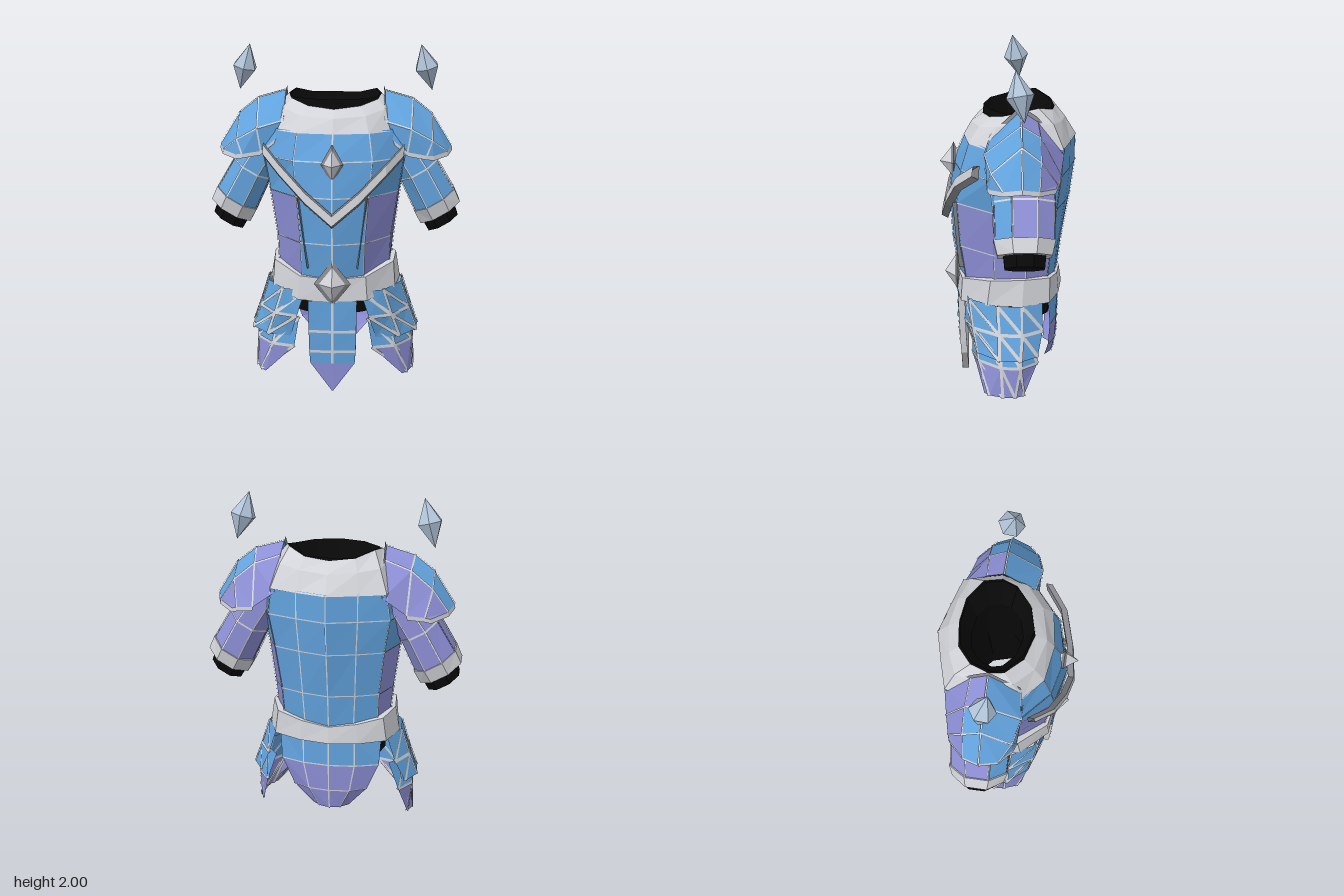
import * as THREE from 'three';

const mat = (name, color) => {
  const m = new THREE.MeshStandardMaterial({ color, side: THREE.DoubleSide });
  m.name = name;
  return m;
};
const V = (p) => new THREE.Vector3(...p);
const mirror = (rows, s) => rows.map((r) => r.map(([x, y, z]) => [x * s, y, z]));

// Cross-section at height y (one number, or one per point) from [x, z] pairs
const row = (y, ...xz) => xz.map(([x, z], i) => [x, Array.isArray(y) ? y[i] : y, z]);
// Closed loop from its left half, running front centre to back centre
const loop = (h) => [...h, ...h.slice(0, -1).reverse().map(([x, y, z]) => [-x, y, z])];

export function createModel() {
  const blue = mat('blue plate', 0x62a3de);
  const purple = mat('purple plate', 0x8d8fd6);
  const light = mat('light grey trim', 0xd2d4d9);
  const dark = mat('dark grey trim', 0x85878c);
  const black = mat('black cloth', 0x090909);
  const crystal = mat('crystal', 0xb2c5da);
  const model = new THREE.Group();
  model.name = 'armour';

  const add = (name, geo, material) => {
    const m = new THREE.Mesh(geo, material);
    m.name = name;
    model.add(m);
    return m;
  };

  // Flat-shaded skin over rows of points; pick gives the material index of a cell
  const loft = (name, rows, materials, pick = () => 0) => {
    const mats = [].concat(materials);
    const bins = mats.map(() => []);
    for (let i = 0; i + 1 < rows.length; i++)
      for (let j = 0; j + 1 < rows[0].length; j++) {
        const a = rows[i][j], b = rows[i][j + 1], c = rows[i + 1][j + 1], d = rows[i + 1][j];
        bins[pick(i, j)].push(...a, ...d, ...b, ...b, ...d, ...c);
      }
    const geo = new THREE.BufferGeometry();
    geo.setAttribute('position', new THREE.Float32BufferAttribute(bins.flat(), 3));
    let start = 0;
    bins.forEach((b, k) => {
      geo.addGroup(start, b.length / 3, k);
      start += b.length / 3;
    });
    geo.computeVertexNormals();
    return add(name, geo, mats.length > 1 ? mats : mats[0]);
  };

  // Pale lines laid on the inner grid lines of a skin; c is a point inside the part
  const seams = (name, rows, c, w, { closed = false, zigzag = false, offsets = [0.005] } = {}) => {
    const pos = [], n = rows.length, k = rows[0].length;
    const at = (i, j) => V(rows[Math.min(Math.max(i, 0), n - 1)][Math.min(Math.max(j, 0), k - 1)]);
    const normal = (i, j) => {
      const q = at(i + 1, j).sub(at(i - 1, j)).cross(at(i, j + 1).sub(at(i, j - 1))).normalize();
      return q.dot(at(i, j).sub(V(c))) < 0 ? q.negate() : q;
    };
    const strip = (i, j, i2, j2) => offsets.forEach((off) => {
      const na = normal(i, j), nb = normal(i2, j2);
      const a = at(i, j), b = at(i2, j2), dir = b.clone().sub(a);
      const sa = dir.clone().cross(na).setLength(w), sb = dir.clone().cross(nb).setLength(w);
      a.addScaledVector(na, off);
      b.addScaledVector(nb, off);
      const p = [a.clone().add(sa), a.clone().sub(sa), b.clone().add(sb), b.clone().sub(sb)];
      [0, 1, 2, 2, 1, 3].forEach((q) => pos.push(...p[q].toArray()));
    });
    for (let i = 0; i < n; i++)
      for (let j = 0; j < k; j++) {
        if (j + 1 < k && i > 0 && i < n - 1) strip(i, j, i, j + 1);
        if (i + 1 < n && (closed || (j > 0 && j < k - 1))) strip(i, j, i + 1, j);
        if (zigzag && i + 1 < n && j + 1 < k) strip(i, j, i + 1, j + 1);
      }
    const geo = new THREE.BufferGeometry();
    geo.setAttribute('position', new THREE.Float32BufferAttribute(pos, 3));
    geo.computeVertexNormals();
    add(name, geo, light);
  };

  // Torso: purple flanks below the chest
  const torso = [
    row(1.53, [0, 0.24], [0.2, 0.21], [0.34, 0.1], [0.38, -0.09], [0.32, -0.3], [0.17, -0.345], [0, -0.39]),
    row(1.37, [0, 0.31], [0.22, 0.26], [0.4, 0.1], [0.43, -0.1], [0.34, -0.29], [0.17, -0.345], [0, -0.39]),
    row(1.17, [0, 0.335], [0.2, 0.285], [0.37, 0.08], [0.385, -0.1], [0.31, -0.27], [0.16, -0.325], [0, -0.365]),
    row(0.9, [0, 0.32], [0.18, 0.27], [0.33, 0.08], [0.35, -0.1], [0.28, -0.24], [0.15, -0.29], [0, -0.32]),
    row(0.68, [0, 0.29], [0.175, 0.24], [0.32, 0.07], [0.33, -0.1], [0.27, -0.22], [0.14, -0.27], [0, -0.295]),
  ].map(loop);
  const flank = (j) => { const k = j < 6 ? j : 11 - j; return k >= 1 && k <= 3; };
  loft('torso', torso, [blue, purple], (i, j) => (i >= 2 && flank(j) ? 1 : 0));
  seams('torsoSeams', torso, [0, 1.1, -0.03], 0.0035, { closed: true });

  // Collar and the black lining, open through the neck
  const neck = loop(row([1.645, 1.66, 1.69, 1.715, 1.73, 1.7, 1.685],
    [0, 0.14], [0.15, 0.1], [0.25, 0.01], [0.27, -0.07], [0.24, -0.17], [0.14, -0.25], [0, -0.27]));
  const collar = [
    neck,
    loop(row([1.6, 1.61, 1.64, 1.66, 1.65, 1.635, 1.625],
      [0, 0.205], [0.18, 0.16], [0.29, 0.06], [0.32, -0.08], [0.28, -0.25], [0.16, -0.3], [0, -0.33])),
    loop(row(1.52, [0, 0.25], [0.2, 0.22], [0.32, 0.12], [0.385, -0.09], [0.325, -0.305], [0.17, -0.35], [0, -0.395])),
  ];
  loft('collar', collar, light);
  const ellipse = (y, k, z0, kz) => neck.map(([x, , z]) => [x * k, y, (z + 0.06) * kz + z0]);
  const lining = [neck, neck.map(([x, y, z]) => [x * 0.96, Math.max(y, 1.7), z * 0.96]),
    ellipse(1.58, 0.68, -0.06, 0.68), ellipse(1.1, 0.85, -0.06, 0.85), ellipse(0.6, 1.1, -0.01, 1.2), ellipse(0.46, 1.12, -0.01, 1.2)];
  loft('lining', lining, black);

  // Belt, dipping at the front
  const beltBottom = loop(row([0.555, 0.56, 0.6, 0.605, 0.605, 0.6, 0.6],
    [0, 0.305], [0.2, 0.275], [0.36, 0.12], [0.39, -0.08], [0.33, -0.24], [0.17, -0.3], [0, -0.325]));
  const beltTop = loop(row([0.69, 0.7, 0.75, 0.76, 0.75, 0.72, 0.7],
    [0, 0.3], [0.19, 0.265], [0.35, 0.1], [0.365, -0.09], [0.31, -0.24], [0.16, -0.29], [0, -0.31]));
  const inset = (r) => r.map(([x, y, z]) => [x * 0.87, y, z * 0.87]);
  loft('belt', [inset(beltTop), beltTop, beltBottom, inset(beltBottom)], light);

  // Chest chevron: a thick band bent around the breastplate
  const chevronHalf = [[0, 1.05, 0.38], [0.15, 1.175, 0.35], [0.3, 1.325, 0.29], [0.4, 1.42, 0.19]];
  const chevron = [...mirror([chevronHalf.slice(1)], -1)[0].reverse(), ...chevronHalf];
  const edge = (dy, dz) => chevron.map(([x, y, z]) => [x, y + dy, z + dz]);
  loft('chestChevron', [edge(0.035, -0.035), edge(0.03, 0), edge(-0.025, 0.008), edge(-0.045, -0.03), edge(0.035, -0.035)],
    [light, dark], (i) => (i === 1 ? 0 : 1));

  // Faceted gems in dark frames
  for (const [name, y, z, w, h, d] of [['chestGem', 1.36, 0.31, 0.056, 0.1, 0.08], ['beltGem', 0.665, 0.3, 0.092, 0.12, 0.075]]) {
    for (const [part, m, k, depth] of [['', light, 1, d], ['Frame', dark, 1.15, d * 0.6]]) {
      const g = add(name + part, new THREE.OctahedronGeometry(1), m);
      g.scale.set(w * k, h * k, depth);
      g.position.set(0, y, z);
    }
  }

  // Front tabard: a thick plate, grey at the sides and back
  const tabard = [
    row(0.56, [-0.14, 0.295], [0, 0.302], [0.14, 0.295]),
    row(0.375, [-0.138, 0.29], [0, 0.3], [0.138, 0.29]),
    row(0.25, [-0.135, 0.285], [0, 0.293], [0.135, 0.285]),
    row(0.175, [-0.13, 0.28], [0, 0.288], [0.13, 0.28]),
    row(0, [-0.004, 0.278], [0, 0.28], [0.004, 0.278]),
  ];
  const tabardPlate = tabard.map((r) => [...r, ...[...r].reverse().map(([x, y, z]) => [x, y, z - 0.038]), r[0]]);
  loft('tabard', tabardPlate, [blue, purple, light], (i, j) => (j > 1 ? 2 : i > 2 ? 1 : 0));
  seams('tabardSeams', tabard.slice(0, 4), [0, 0.3, 0], 0.008);

  // Rear flap
  const flap = [
    row(0.62, [-0.3, -0.23], [-0.15, -0.29], [0, -0.305], [0.15, -0.29], [0.3, -0.23]),
    row(0.45, [-0.29, -0.245], [-0.15, -0.29], [0, -0.305], [0.15, -0.29], [0.29, -0.245]),
    row(0.28, [-0.22, -0.24], [-0.12, -0.285], [0, -0.3], [0.12, -0.285], [0.22, -0.24]),
    row(0.15, [-0.11, -0.225], [-0.06, -0.265], [0, -0.28], [0.06, -0.265], [0.11, -0.225]),
  ];
  loft('rearFlap', flap, [blue, purple], (i) => (i ? 1 : 0));
  seams('rearFlapSeams', flap, [0, 0.4, 0], 0.004);

  // Eight-sided ring across the arm, a flat side facing outwards
  const ring = (cx, cy, r, rz) => Array.from({ length: 9 }, (_, j) => {
    const a = ((j + 0.5) / 8) * Math.PI * 2, k = 1.06;
    return [cx + 0.86 * k * r * Math.cos(a), cy + 0.51 * k * r * Math.cos(a), -0.085 + k * rz * Math.sin(a)];
  });

  for (const s of [1, -1]) {
    const side = s > 0 ? 'left' : 'right';
    const m = (rows) => mirror(rows, s);

    // Sleeve, cuff and black wrist
    const sleeve = m([ring(0.36, 1.47, 0.11, 0.16), ring(0.49, 1.27, 0.12, 0.165), ring(0.585, 1.09, 0.13, 0.16)]);
    loft(side + 'Sleeve', sleeve, [blue, purple], (i, j) => (j < 3 ? 0 : 1));
    seams(side + 'SleeveSeams', sleeve, [0.49 * s, 1.27, -0.085], 0.005, { closed: true });
    loft(side + 'Cuff', m([ring(0.585, 1.09, 0.12, 0.15), ring(0.585, 1.09, 0.138, 0.17),
      ring(0.622, 1.015, 0.135, 0.15), ring(0.622, 1.015, 0.1, 0.11)]), light);
    loft(side + 'Wrist', m([ring(0.6, 1.04, 0.11, 0.12), ring(0.642, 0.95, 0.1, 0.11), ring(0.642, 0.95, 0.001, 0.001)]), black);

    // Shoulder plate (purple at the back), rim and upright inner fin
    const plate = m([
      row([1.5, 1.57, 1.73, 1.67, 1.5], [0.3, 0.125], [0.295, 0.1], [0.29, -0.07], [0.295, -0.16], [0.3, -0.31]),
      row([1.4, 1.53, 1.685, 1.62, 1.4], [0.42, 0.12], [0.44, 0.125], [0.45, -0.07], [0.44, -0.17], [0.43, -0.285]),
      row([1.38, 1.46, 1.6, 1.52, 1.385], [0.53, 0.115], [0.56, 0.09], [0.56, -0.07], [0.56, -0.17], [0.53, -0.26]),
      row([1.375, 1.39, 1.41, 1.39, 1.375], [0.57, 0.1], [0.65, 0.03], [0.68, -0.07], [0.65, -0.16], [0.56, -0.25]),
    ]);
    loft(side + 'ShoulderPlate', plate, [blue, purple], (i, j) => (j === 3 || (j === 2 && i === 0) ? 1 : 0));
    seams(side + 'ShoulderSeams', plate, [0.42 * s, 1.4, -0.075], 0.005);
    const rim = [plate[0][0], plate[1][0], plate[2][0], ...plate[3], plate[2][4], plate[1][4]];
    loft(side + 'ShoulderRim', [rim, rim.map(([x, y, z]) => [x + 0.005 * s, y - 0.025, z])], light);
    loft(side + 'ShoulderFin', [plate[0], plate[0].map(([x, y, z]) => [x - 0.008 * s, y + 0.025, z])], dark);

    // Hip guard in two overlapping layers, seams inside and out
    const upper = m([
      row(0.61, [0.16, 0.26], [0.29, 0.22], [0.39, 0.06], [0.4, -0.08], [0.33, -0.2]),
      row(0.45, [0.21, 0.25], [0.34, 0.2], [0.44, 0.05], [0.45, -0.08], [0.38, -0.2]),
      row(0.31, [0.25, 0.2], [0.39, 0.17], [0.49, 0.05], [0.5, -0.07], [0.44, -0.17]),
    ]);
    const lower = m([
      row(0.43, [0.2, 0.21], [0.32, 0.17], [0.41, 0.04], [0.42, -0.08], [0.34, -0.18]),
      row(0.25, [0.23, 0.21], [0.36, 0.17], [0.46, 0.04], [0.47, -0.07], [0.4, -0.17]),
      row(0.06, [0.41, 0.14], [0.44, 0.11], [0.47, 0.03], [0.475, -0.04], [0.45, -0.09]),
    ]);
    const lines = { zigzag: true, offsets: [0.005, -0.005] };
    loft(side + 'UpperHipGuard', upper, blue);
    loft(side + 'LowerHipGuard', lower, [blue, purple], (i) => i);
    seams(side + 'UpperHipSeams', upper, [0.1 * s, 0.45, 0], 0.01, lines);
    seams(side + 'LowerHipSeams', lower, [0.1 * s, 0.3, 0], 0.009, lines);

    // Waist rib
    loft(side + 'WaistRib', m([[[0.205, 1.17, 0.27], [0.14, 0.75, 0.24]], [[0.195, 1.17, 0.315], [0.145, 0.75, 0.285]],
      [[0.185, 1.17, 0.27], [0.13, 0.75, 0.24]]]), dark);

    // Floating crystal
    const gem = new THREE.LatheGeometry([[0, -0.14], [0.074, 0], [0, 0.138]].map((p) => new THREE.Vector2(...p)), 6).toNonIndexed();
    gem.computeVertexNormals();
    const shard = add(side + 'Crystal', gem, crystal);
    shard.position.set(0.526 * s, 1.866, -0.06);
    shard.rotation.set(0.17, 0, 0.25 * s);
  }
  return model;
}
